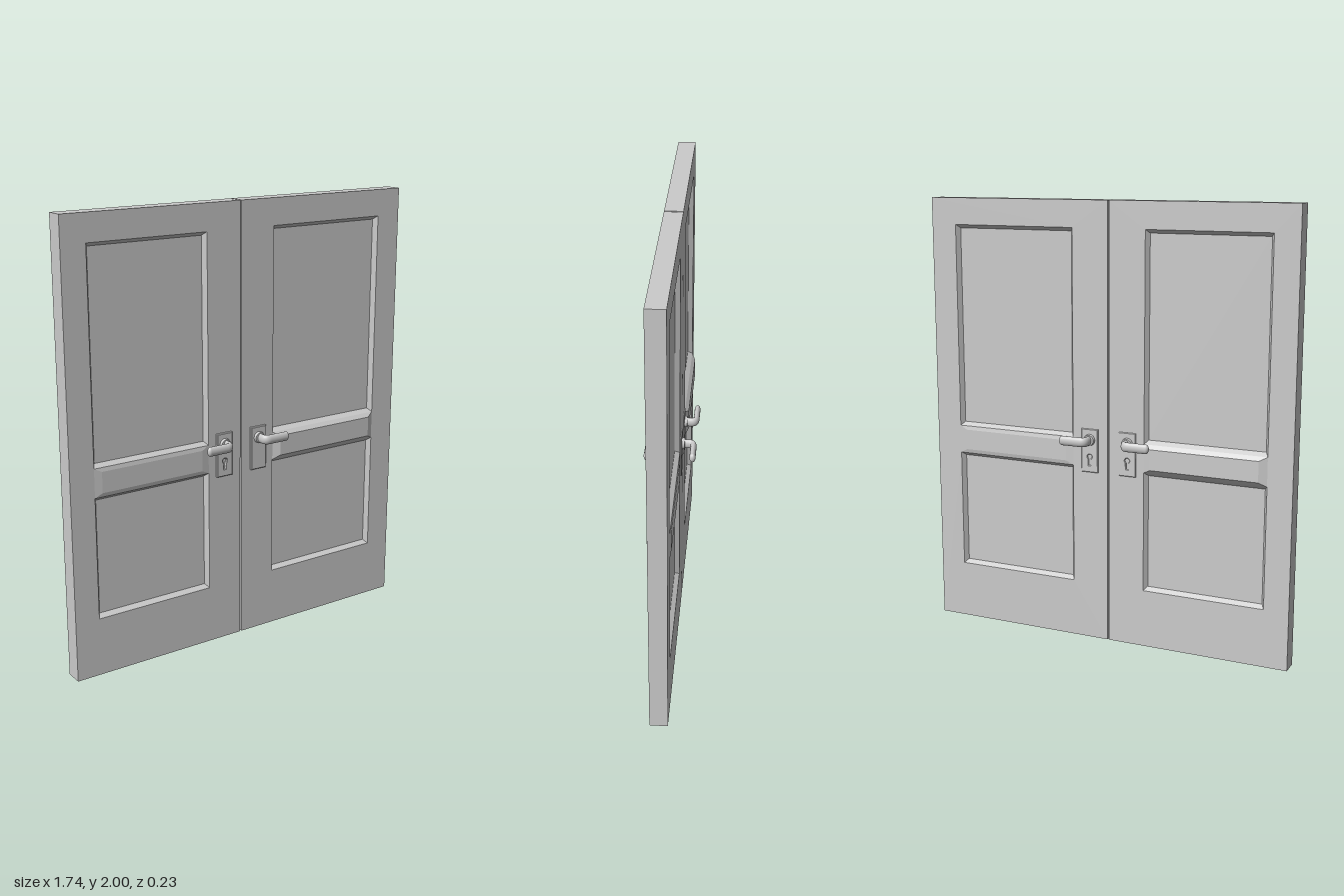
import * as THREE from 'three';

const material = new THREE.MeshStandardMaterial({ color: 0xcccccc });
const HALF = 0.04; // half the leaf thickness
const PANEL = 0.018; // panel face distance from the leaf's middle

function add(parent, name, geometry) {
  const mesh = new THREE.Mesh(geometry, material);
  mesh.name = name;
  parent.add(mesh);
  return mesh;
}

function rectPoints([x0, x1, y0, y1]) {
  return [[x0, y0], [x1, y0], [x1, y1], [x0, y1]];
}

function rectPath(rect, Type = THREE.Path) {
  return new Type(rectPoints(rect).map(([x, y]) => new THREE.Vector2(x, y)));
}

// Sloped border from one rectangle to a smaller one at another depth, closed by a flat face
function bevelledFace(rect, insetX, insetY, z0, z1) {
  const [x0, x1, y0, y1] = rect;
  const outer = rectPoints(rect).map(([x, y]) => [x, y, z0]);
  const inner = rectPoints([x0 + insetX, x1 - insetX, y0 + insetY, y1 - insetY]).map(([x, y]) => [x, y, z1]);
  const quads = [inner];
  for (let i = 0; i < 4; i++) {
    const j = (i + 1) % 4;
    quads.push([outer[i], outer[j], inner[j], inner[i]]);
  }
  const positions = quads.flatMap(([a, b, c, d]) => [a, b, c, a, c, d]).flat();
  const geometry = new THREE.BufferGeometry();
  geometry.setAttribute('position', new THREE.Float32BufferAttribute(positions, 3));
  geometry.computeVertexNormals();
  return geometry;
}

// One side of a leaf: two sunk panels and the raised rail between them
function makeSide(px0, px1, ridge) {
  const side = new THREE.Group();
  side.name = 'panelSide';
  add(side, 'upperPanel', bevelledFace([px0, px1, 0.945, 1.88], 0.014, 0.016, HALF, PANEL));
  add(side, 'lowerPanel', bevelledFace([px0, px1, 0.265, 0.815], 0.014, 0.016, HALF, PANEL));
  add(side, 'middleRail', bevelledFace([px0, px1, 0.815, 0.945], 0.035, 0.018, HALF, HALF + ridge));
  return side;
}

function makeLeaf(name, x0, x1, px0, px1, frontRidge, backRidge) {
  const leaf = new THREE.Group();
  leaf.name = name;
  const outline = rectPath([x0, x1, 0, 2], THREE.Shape);
  outline.holes.push(rectPath([px0, px1, 0.945, 1.88]), rectPath([px0, px1, 0.265, 0.815]));
  const frame = new THREE.ExtrudeGeometry(outline, { depth: 2 * HALF, bevelEnabled: false });
  add(leaf, 'frame', frame.translate(0, 0, -HALF));
  leaf.add(makeSide(px0, px1, frontRidge));
  const back = makeSide(-px1, -px0, backRidge);
  back.rotation.y = Math.PI;
  leaf.add(back);
  leaf.position.z = -0.004;
  return leaf;
}

// Plate, collar and lever around x = 0, with the lever pointing along dir
function makeHandle(name, dir, keyhole) {
  const handle = new THREE.Group();
  handle.name = name;

  const outline = rectPath([-0.038, 0.038, 0.793, 0.987], THREE.Shape);
  if (keyhole) {
    const hole = new THREE.Path();
    hole.moveTo(-0.008, 0.82);
    hole.lineTo(0.008, 0.82);
    hole.lineTo(0.008, 0.852);
    hole.absarc(0, 0.862, 0.014, -0.9, Math.PI + 0.9, false);
    outline.holes.push(hole);
  }
  const plate = new THREE.ExtrudeGeometry(outline, {
    depth: 0.009, bevelThickness: 0.003, bevelSize: 0.003, bevelSegments: 1, curveSegments: 10,
  });
  add(handle, 'plate', plate.translate(0, 0, 0.036));

  const collar = add(handle, 'collar', new THREE.CylinderGeometry(0.024, 0.027, 0.014, 24));
  collar.rotation.x = Math.PI / 2;
  collar.position.set(0, 0.94, 0.053);

  // Lever bent from the spindle to a bar parallel with the leaf
  const path = new THREE.CurvePath();
  const p = (x, z) => new THREE.Vector3(dir * x, 0, z);
  path.add(new THREE.LineCurve3(p(0, 0.04), p(0, 0.078)));
  path.add(new THREE.QuadraticBezierCurve3(p(0, 0.078), p(0, 0.1), p(0.024, 0.1)));
  path.add(new THREE.LineCurve3(p(0.024, 0.1), p(0.112, 0.1)));
  const lever = new THREE.Group();
  lever.name = 'lever';
  lever.position.y = 0.938;
  lever.scale.y = 1.6;
  add(lever, 'leverBar', new THREE.TubeGeometry(path, 40, 0.0135, 16));
  add(lever, 'leverTip', new THREE.SphereGeometry(0.0135, 16, 12)).position.set(dir * 0.112, 0, 0.1);
  handle.add(lever);
  return handle;
}

export function createModel() {
  const model = new THREE.Group();
  model.name = 'doubleDoor';
  model.add(makeLeaf('rightLeaf', -0.87, -0.021, -0.757, -0.19, 0.004, 0.016));
  model.add(makeLeaf('leftLeaf', -0.014, 0.87, 0.157, 0.748, 0.016, 0.004));

  // Handles on both faces, levers pointing away from the meeting edge
  for (const [side, x, dir] of [['right', -0.111, -1], ['left', 0.073, 1]]) {
    const front = makeHandle(side + 'FrontHandle', dir, dir < 0);
    front.position.x = x;
    const back = makeHandle(side + 'BackHandle', -dir, true);
    back.rotation.y = Math.PI;
    back.position.set(x, 0, -0.001);
    model.add(front, back);
  }
  return model;
}
